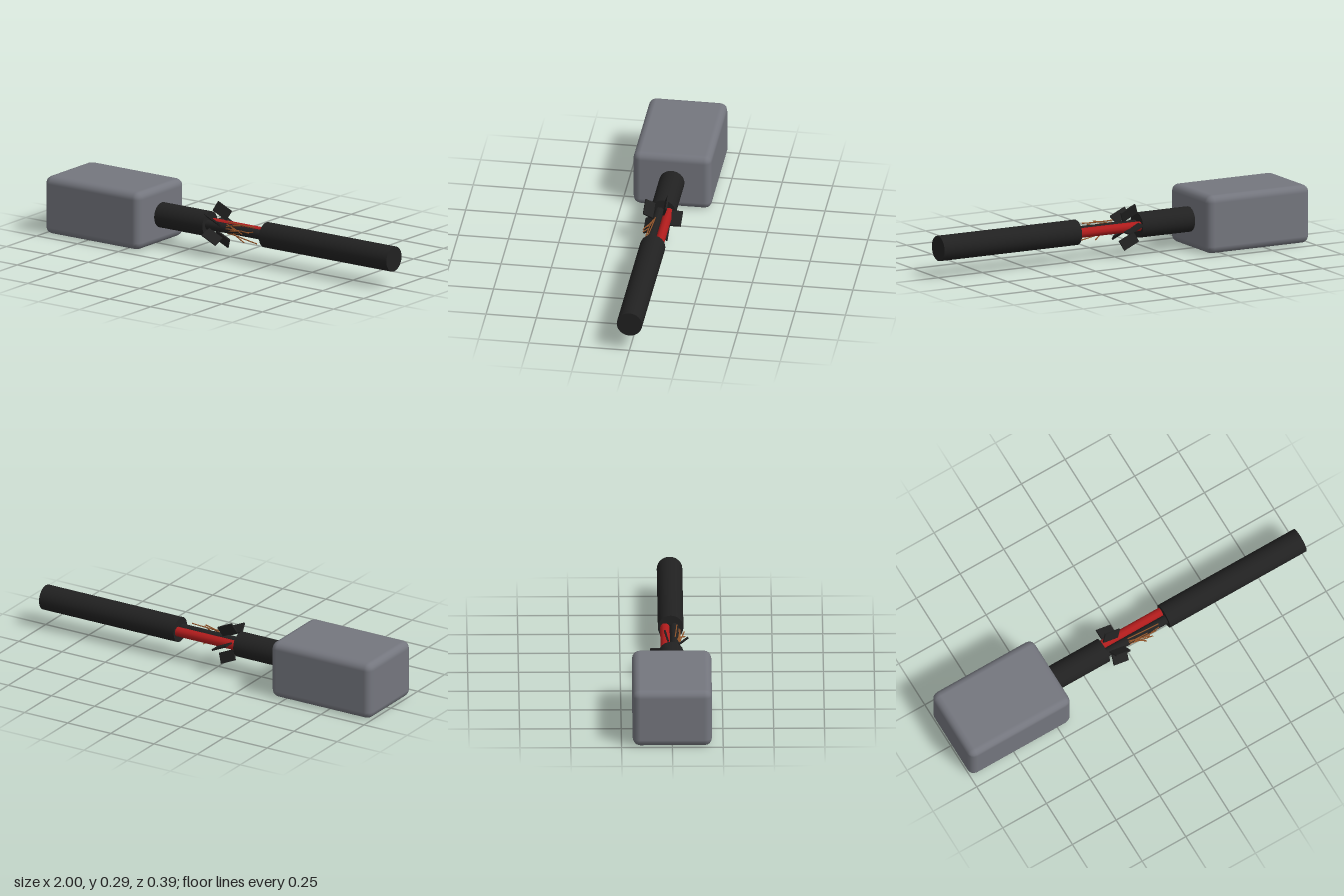
import * as THREE from 'three';
import { RoundedBoxGeometry } from 'three/addons/geometries/RoundedBoxGeometry.js';

const AXIS_Y = 0.147;

export function createModel() {
  const model = new THREE.Group();
  model.name = 'frayedCable';

  const mat = (name, color) => {
    const m = new THREE.MeshStandardMaterial({ color });
    m.name = name;
    return m;
  };
  const grey = mat('housing grey', 0x74767e);
  const black = mat('rubber black', 0x212121);
  const red = mat('wire red', 0xb01c1c);
  const copper = mat('copper', 0x95562a);

  const add = (name, geometry, material, parent = model) => {
    const mesh = new THREE.Mesh(geometry, material);
    mesh.name = name;
    parent.add(mesh);
    return mesh;
  };

  // Cylinder lying along x
  const rod = (name, x0, x1, y, z, radius, sides, material) => {
    const g = new THREE.CylinderGeometry(radius, radius, x1 - x0, sides);
    g.rotateZ(-Math.PI / 2);
    return add(name, g, material).position.set((x0 + x1) / 2, y, z);
  };

  // Housing block with softened edges
  add('housing', new RoundedBoxGeometry(0.58, 0.293, 0.39, 2, 0.037), grey)
    .position.set(-0.71, 0.1465, 0);

  // Outer jacket on both sides of the break
  rod('shortJacket', -0.44, -0.125, AXIS_Y, 0, 0.063, 24, black);
  rod('longJacket', 0.22, 1, AXIS_Y, 0, 0.063, 24, black);

  // Inner wires bridging the gap
  rod('redWire', -0.14, 0.24, AXIS_Y, -0.028, 0.024, 10, red);
  rod('blackWire', -0.14, 0.24, AXIS_Y, 0.018, 0.024, 10, black);

  // Five torn jacket flaps, all leaning the same way about z
  const flaps = new THREE.Group();
  flaps.name = 'jacketFlaps';
  model.add(flaps);
  for (let i = 0; i < 5; i++) {
    const a = (i * Math.PI * 2) / 5;
    const flap = add('jacketFlap', new THREE.BoxGeometry(0.09, 0.008, 0.055), black, flaps);
    flap.rotation.set(a, 0, -0.43, 'ZYX');
    flap.position.set(-0.067, AXIS_Y + 0.075 * Math.sin(a), -0.075 * Math.cos(a));
  }

  // Frayed copper strands: start and end points
  const strands = [
    [0.00, 0.182, 0.020, 0.17, 0.181, 0.030],
    [0.00, 0.160, 0.035, 0.10, 0.182, 0.045],
    [0.01, 0.140, 0.035, 0.12, 0.165, 0.066],
    [0.00, 0.170, 0.030, 0.11, 0.140, 0.050],
    [0.02, 0.130, 0.030, 0.18, 0.098, 0.022],
    [0.00, 0.150, 0.040, 0.15, 0.152, 0.046],
    [0.03, 0.145, 0.038, 0.10, 0.090, 0.020],
    [0.02, 0.165, 0.032, 0.08, 0.155, 0.070],
    [0.04, 0.135, 0.036, 0.17, 0.160, 0.040],
    [0.00, 0.122, 0.020, 0.12, 0.112, 0.034],
  ];
  const fray = new THREE.Group();
  fray.name = 'copperStrands';
  model.add(fray);
  strands.forEach(([x0, y0, z0, x1, y1, z1], i) => {
    const a = new THREE.Vector3(x0, y0, z0);
    const b = new THREE.Vector3(x1, y1, z1);
    const mid = a.clone().lerp(b, 0.5);
    mid.y += i % 2 ? 0.006 : -0.004;
    const curve = new THREE.QuadraticBezierCurve3(a, mid, b);
    add('copperStrand', new THREE.TubeGeometry(curve, 4, 0.003, 6), copper, fray);
  });

  return model;
}
